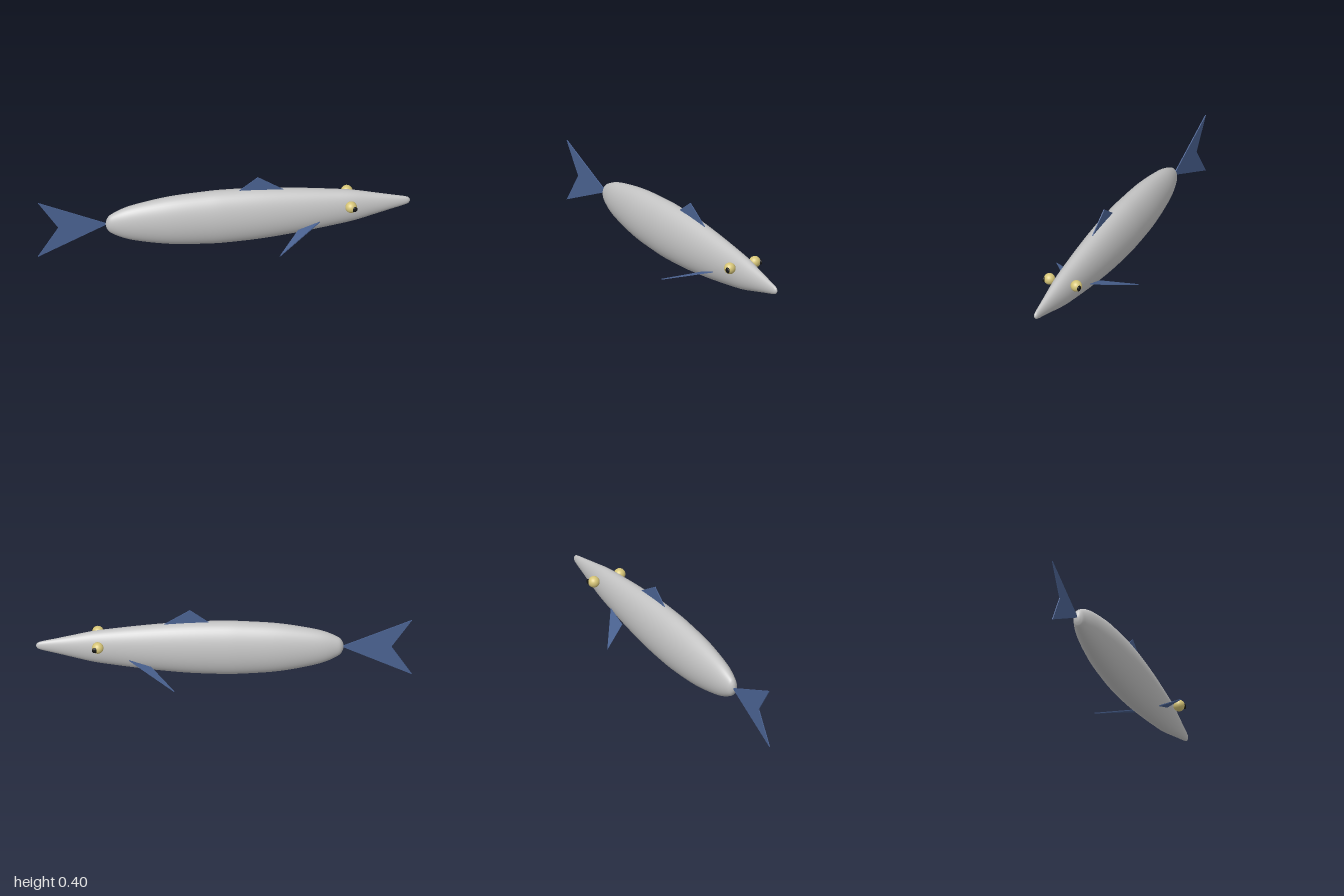
import * as THREE from 'three';

const material = (name, color, side = THREE.FrontSide) => {
  const m = new THREE.MeshStandardMaterial({ color, side });
  m.name = name;
  return m;
};

export function createModel() {
  const fish = new THREE.Group();
  fish.name = 'fish';
  const silver = material('silver skin', 0xc4c4c4);
  const blue = material('blue fin', 0x4a6291, THREE.DoubleSide);
  const yellow = material('yellow eye', 0xd6c578);
  const black = material('black pupil', 0x141414);

  const add = (name, geometry, mat) => {
    const mesh = new THREE.Mesh(geometry, mat);
    mesh.name = name;
    fish.add(mesh);
    return mesh;
  };

  // Body: a lathe laid along x, narrowed in z, with a slightly sagging axis
  const profile = new THREE.SplineCurve([
    [0, -0.637], [0.032, -0.628], [0.06, -0.6], [0.102, -0.5], [0.141, -0.3],
    [0.156, -0.1], [0.158, 0.02], [0.151, 0.2], [0.132, 0.4], [0.106, 0.6],
    [0.09, 0.7], [0.066, 0.8], [0.044, 0.89], [0.026, 0.965], [0.016, 0.989], [0, 0.998],
  ].map(([r, x]) => new THREE.Vector2(r, x))).getPoints(90);
  profile.forEach((p) => { p.x = Math.max(p.x, 0); });
  const bodyGeometry = new THREE.LatheGeometry(profile, 48);
  bodyGeometry.rotateZ(-Math.PI / 2).scale(1, 1, 0.575);
  const pos = bodyGeometry.attributes.position;
  for (let i = 0; i < pos.count; i++) {
    const x = pos.getX(i);
    pos.setY(i, pos.getY(i) + 0.167 + (x < 0 ? 0.025 : 0.007) * x * x);
  }
  add('body', bodyGeometry, silver);

  // Flat fins cut from a thin plate centred on its own plane
  const plate = (points, depth = 0.005) => {
    const shape = new THREE.Shape(points.map(([x, y]) => new THREE.Vector2(x, y)));
    return new THREE.ExtrudeGeometry(shape, { depth, bevelEnabled: false })
      .translate(0, 0, -depth / 2);
  };
  add('tailFin', plate([[-0.625, 0.177], [-1, 0.345], [-0.89, 0.177], [-1, 0.003]]), blue)
    .position.z = -0.002;
  add('dorsalFin', plate([[0.07, 0.315], [0.18, 0.398], [0.33, 0.3]]), blue)
    .position.z = 0.003;

  for (const side of [1, -1]) {
    const label = side > 0 ? 'left' : 'right';

    // Swept pectoral fin, sloping down towards the tail
    const fin = plate([[0, 0], [-0.125, 0], [-0.256, 0.168 * side]]);
    fin.rotateX(Math.PI / 2).rotateZ(0.345);
    add(label + 'PectoralFin', fin, blue).position.set(0.503, 0.13, 0.076 * side);

    // Bulging eye with a flattened pupil
    add(label + 'Eye', new THREE.SphereGeometry(0.031, 28, 20), yellow)
      .position.set(0.669, 0.211, 0.08 * side);
    const pupil = add(label + 'Pupil', new THREE.SphereGeometry(0.016, 20, 14), black);
    pupil.scale.z = 0.5;
    pupil.position.set(0.684, 0.21, 0.104 * side);
  }

  return fish;
}
